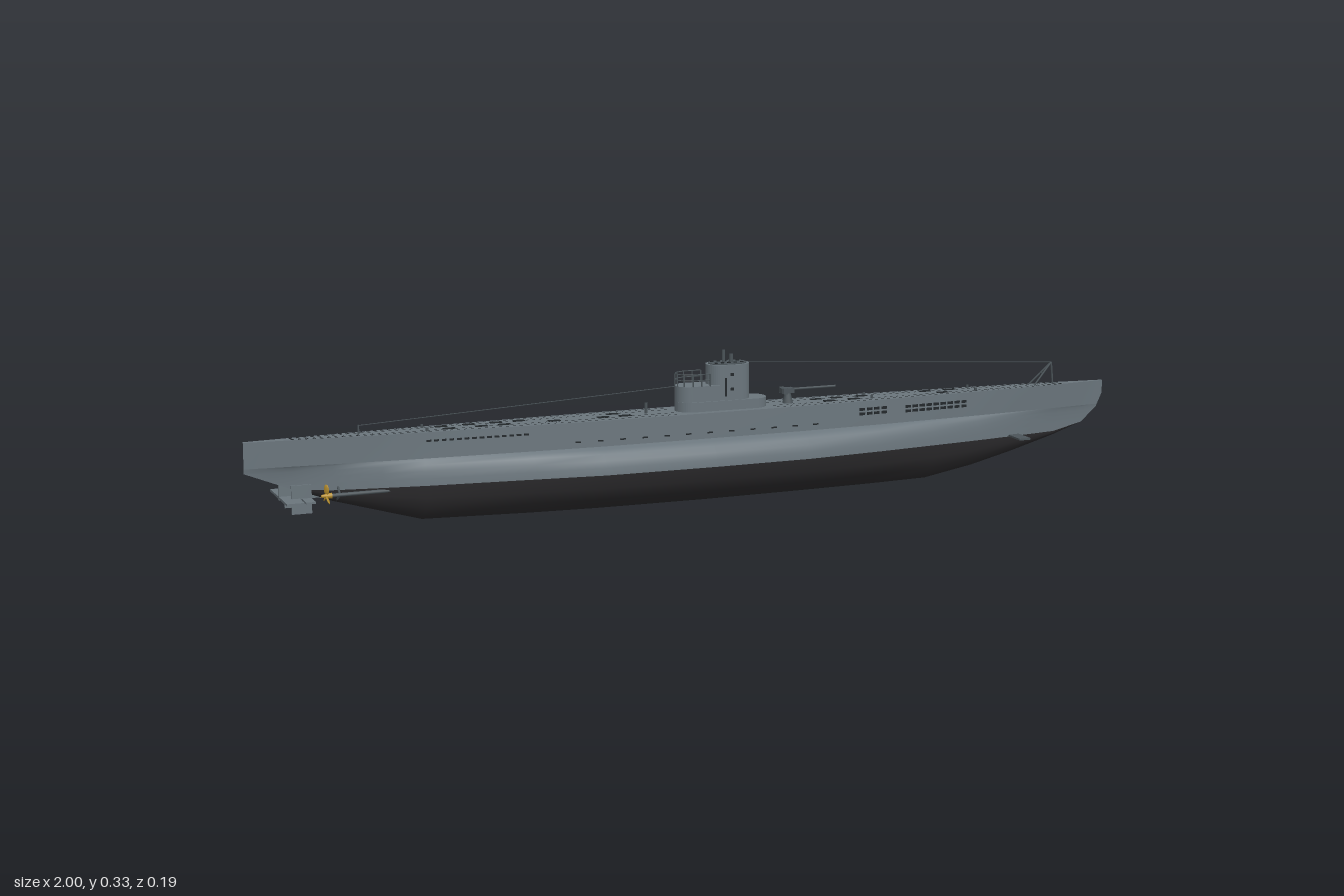
import * as THREE from 'three';
import { mergeGeometries } from 'three/addons/utils/BufferGeometryUtils.js';

const mat = (name, color) => new THREE.MeshStandardMaterial({ name, color });

// Hull stations: x, keel height, half width at waterline, at casing foot, at deck
const STATIONS = [
  [-1, 0.135, 0.002, 0.003, 0.004], [-0.95, 0.115, 0.003, 0.008, 0.009],
  [-0.9, 0.095, 0.005, 0.012, 0.013], [-0.82, 0.065, 0.016, 0.019, 0.02],
  [-0.72, 0.036, 0.033, 0.027, 0.027], [-0.63, 0.01, 0.047, 0.034, 0.033],
  [-0.4, 0.004, 0.072, 0.046, 0.044], [-0.25, 0.002, 0.089, 0.052, 0.05],
  [0, 0.001, 0.093, 0.053, 0.051], [0.22, 0.002, 0.09, 0.052, 0.05],
  [0.4, 0.003, 0.073, 0.046, 0.044], [0.54, 0.005, 0.056, 0.038, 0.037],
  [0.66, 0.026, 0.041, 0.031, 0.031], [0.76, 0.05, 0.026, 0.023, 0.025],
  [0.87, 0.08, 0.008, 0.013, 0.016], [0.946, 0.106, 0.003, 0.006, 0.008],
  [0.985, 0.14, 0.002, 0.003, 0.004], [1, 0.17, 0.001, 0.001, 0.002],
];
const WATER = 0.09, FOOT = 0.145, DECK = 0.2;
const lerp = THREE.MathUtils.lerp;

function station(x) {
  let i = 0;
  while (i < STATIONS.length - 2 && STATIONS[i + 1][0] < x) i++;
  const a = STATIONS[i], b = STATIONS[i + 1];
  const t = (x - a[0]) / (b[0] - a[0]);
  return a.map((v, k) => lerp(v, b[k], t));
}

// Skin through one row of [y, z] points per station
function loft(rowOf, flip = false) {
  const pos = [], index = [];
  const rows = STATIONS.map(s => rowOf(s));
  const n = rows[0].length;
  rows.forEach((row, i) => row.forEach(([y, z]) => pos.push(STATIONS[i][0], y, flip ? -z : z)));
  for (let i = 0; i < rows.length - 1; i++) {
    for (let j = 0; j < n - 1; j++) {
      const a = i * n + j, b = a + n, c = b + 1, d = a + 1;
      if (flip) index.push(a, c, b, a, d, c);
      else index.push(a, b, c, a, c, d);
    }
  }
  const g = new THREE.BufferGeometry();
  g.setAttribute('position', new THREE.Float32BufferAttribute(pos, 3));
  g.setIndex(index);
  g.computeVertexNormals();
  return g;
}

const BILGE = [[0, 0], [0.03, 0.18], [0.13, 0.43], [0.36, 0.75], [0.66, 0.94], [1, 1]];
const TANK = [[0.09, 1], [0.105, 0.97], [0.12, 0.86], [0.133, 0.64], [0.141, 0.34], [FOOT, 0]];
const bilgeRow = ([, k, b]) => BILGE.map(([t, f]) => [lerp(k, Math.max(WATER, k), t), b * f]);
const tankRow = ([, k, b, s]) => TANK.map(([y, f]) => [Math.max(y, k), lerp(s, b, f)]);
const casingRow = ([, k, , s, d]) => [[Math.max(FOOT, k), s], [DECK, d]];
const deckRow = ([, , , , d]) => [[DECK, d], [DECK, -d]];

function box(w, h, d, x, y, z, ry = 0) {
  return new THREE.BoxGeometry(w, h, d).rotateY(ry).translate(x, y, z);
}
function rod(a, b, r = 0.0015, sides = 6) {
  const p = new THREE.Vector3(...a), q = new THREE.Vector3(...b);
  return new THREE.TubeGeometry(new THREE.LineCurve3(p, q), 1, r, sides);
}
// Upright prism with rounded ends, lying along x
function stadium(x0, x1, r, y0, y1) {
  const s = new THREE.Shape();
  s.absarc(x1 - r, 0, r, -Math.PI / 2, Math.PI / 2);
  s.absarc(x0 + r, 0, r, Math.PI / 2, Math.PI * 1.5);
  return new THREE.ExtrudeGeometry(s, { depth: y1 - y0, bevelEnabled: false, curveSegments: 10 })
    .rotateX(-Math.PI / 2).translate(0, y0, 0);
}
// Thin plate lying on the casing side
function sidePlate(x, y, w, h, side) {
  const half = X => { const s = station(X); return lerp(s[3], s[4], (y - FOOT) / (DECK - FOOT)); };
  const slope = (half(x + w / 2) - half(x - w / 2)) / w;
  return box(w, h, 0.003, x, y, side * half(x), -side * Math.atan(slope));
}

export function createModel() {
  const root = new THREE.Group();
  root.name = 'submarine';
  const grey = mat('hullGrey', 0x6a757c);
  const black = mat('underwaterBlack', 0x2b2a2c);
  const dark = mat('slotDark', 0x22272a);
  const steel = mat('fittingSteel', 0x4b5459);
  const brass = mat('propellerBrass', 0xb8902f);
  const add = (name, material, geos) => {
    const list = [].concat(geos);
    const mesh = new THREE.Mesh(list.length > 1 ? mergeGeometries(list) : list[0], material);
    mesh.name = name;
    root.add(mesh);
    return mesh;
  };
  const both = fn => [1, -1].flatMap(fn);

  // Hull
  add('lowerHull', black, both(s => loft(bilgeRow, s < 0)));
  add('saddleTanks', grey, both(s => loft(tankRow, s < 0)));
  add('casingSides', grey, both(s => loft(casingRow, s < 0)));
  add('deck', grey, loft(deckRow));

  // Drainage slots and hatches on the deck
  const slots = [];
  for (let x = -0.9; x < 0.9; x += 0.015) {
    const d = station(x)[4];
    if (x > -0.07 && x < 0.16) continue;
    for (const f of [-0.8, -0.4, 0.4, 0.8]) slots.push(box(0.006, 0.001, 0.003, x, DECK, d * f));
  }
  add('deckSlots', dark, slots);
  const hatches = [];
  for (const x of [-0.58, -0.52, -0.46, -0.41, -0.2, 0.28, 0.33, 0.39, 0.55, 0.61]) hatches.push([x, -0.015]);
  for (const x of [-0.57, -0.5, -0.45, -0.34, -0.23, -0.18, 0.3, 0.36, 0.58]) hatches.push([x, 0.012]);
  add('deckHatches', dark, hatches.map(([x, z]) => box(0.026, 0.003, 0.011, x, DECK, z)));

  // Flood openings along the casing
  const openings = both(s => {
    const out = [];
    for (let x = 0.365; x < 0.43; x += 0.018) for (const y of [0.172, 0.182]) out.push(sidePlate(x, y, 0.013, 0.006, s));
    for (let x = 0.48; x < 0.635; x += 0.018) for (const y of [0.17, 0.18]) out.push(sidePlate(x, y, 0.013, 0.006, s));
    for (let x = -0.62; x < -0.4; x += 0.016) out.push(sidePlate(x, 0.182, 0.01, 0.004, s));
    for (let x = -0.3; x < 0.3; x += 0.05) out.push(sidePlate(x, 0.158, 0.012, 0.003, s));
    return out;
  });
  add('floodOpenings', dark, openings);

  // Conning tower
  add('towerBase', grey, stadium(-0.06, 0.15, 0.033, DECK, 0.221));
  add('gunPlatform', grey, stadium(-0.06, 0.06, 0.029, 0.22, 0.255));
  add('tower', grey, stadium(0.012, 0.11, 0.03, 0.22, 0.298));
  add('towerFloor', steel, stadium(0.018, 0.104, 0.025, 0.297, 0.3));
  add('towerVents', dark, [0.03, 0.045, 0.06, 0.075, 0.09].flatMap(x => [-0.012, 0.012].map(z =>
    new THREE.CylinderGeometry(0.004, 0.004, 0.003, 10).translate(x, 0.3, z))));
  add('towerPorts', dark, both(s => [
    box(0.008, 0.006, 0.003, 0.06, 0.277, s * 0.03), box(0.008, 0.006, 0.003, 0.06, 0.245, s * 0.03),
    box(0.004, 0.04, 0.003, 0.045, 0.25, s * 0.03),
  ]));
  add('periscopes', steel, [
    rod([0.052, 0.295, 0], [0.052, 0.328, 0], 0.0035, 10),
    rod([0.07, 0.295, 0], [0.07, 0.318, 0], 0.0045, 10),
  ]);

  // Platform railing, curving round the aft end
  const rail = [];
  const posts = [[0.01, 0.028], [-0.01, 0.028], [-0.03, 0.028], [-0.048, 0.021], [-0.058, 0.008]];
  const ring = [...posts, ...posts.map(([x, z]) => [x, -z]).reverse()];
  ring.forEach(([x, z], i) => {
    rail.push(rod([x, 0.254, z], [x, 0.281, z]));
    const next = ring[i + 1];
    if (next) for (const y of [0.268, 0.281]) rail.push(rod([x, y, z], [next[0], y, next[1]], 0.0012));
  });
  add('platformRailing', steel, rail);

  // Deck gun
  add('deckGun', steel, [
    new THREE.CylinderGeometry(0.006, 0.012, 0.024, 12).translate(0.205, 0.212, 0),
    box(0.028, 0.011, 0.018, 0.203, 0.228, 0),
    rod([0.2, 0.23, 0], [0.32, 0.23, 0], 0.0027, 8),
    ...both(s => box(0.01, 0.014, 0.003, 0.195, 0.228, s * 0.012)),
  ]);

  // Masts, bollards, bow frame and aerial wires
  add('deckPosts', steel, [
    rod([-0.76, DECK, 0], [-0.76, 0.22, 0], 0.002),
    rod([-0.128, DECK, 0], [-0.128, 0.224, 0], 0.0035),
    ...[-0.62, 0.4, 0.66].flatMap(x => both(s => rod([x, DECK, s * 0.02], [x, 0.208, s * 0.02], 0.003))),
  ]);
  add('bowFrame', steel, [
    rod([0.87, DECK, 0], [0.865, 0.25, 0], 0.002),
    ...both(s => rod([0.815, DECK, s * 0.012], [0.865, 0.25, 0], 0.002)),
    rod([0.84, 0.226, -0.006], [0.84, 0.226, 0.006]),
  ]);
  add('aerialWires', steel, [
    rod([0.11, 0.297, 0], [0.865, 0.25, 0], 0.0009, 4),
    rod([-0.06, 0.254, 0], [-0.76, 0.218, 0], 0.0009, 4),
  ]);

  // Diving planes and rudders
  add('bowPlanes', steel, both(s => box(0.028, 0.004, 0.056, 0.757, 0.092, s * 0.052)));
  add('sternPlanes', grey, both(s => [
    box(0.036, 0.005, 0.076, -0.912, 0.08, s * 0.04), box(0.02, 0.004, 0.05, -0.88, 0.08, s * 0.05),
  ]));
  add('rudders', grey, both(s => box(0.042, 0.06, 0.004, -0.89, 0.08, s * 0.033)));
  add('sternFin', grey, box(0.1, 0.035, 0.006, -0.88, 0.092, 0));

  // Shafts, brackets and propellers
  add('propellerShafts', steel, both(s => [
    rod([-0.66, 0.083, s * 0.03], [-0.84, 0.083, s * 0.033], 0.004, 10),
    rod([-0.81, 0.083, s * 0.033], [-0.81, 0.1, s * 0.012], 0.0025),
    rod([-0.81, 0.083, s * 0.033], [-0.81, 0.068, s * 0.006], 0.0025),
  ]));
  add('propellers', brass, both(s => {
    const hub = new THREE.CylinderGeometry(0.006, 0.003, 0.022, 12).rotateZ(-Math.PI / 2);
    const blades = [0, 1, 2].map(i => new THREE.SphereGeometry(1, 10, 6).scale(0.002, 0.011, 0.007)
      .rotateY(s * 0.6).translate(0, 0.013, 0).rotateX(i * Math.PI * 2 / 3));
    return [hub, ...blades].map(g => g.translate(-0.838, 0.083, s * 0.033));
  }));

  return root;
}
